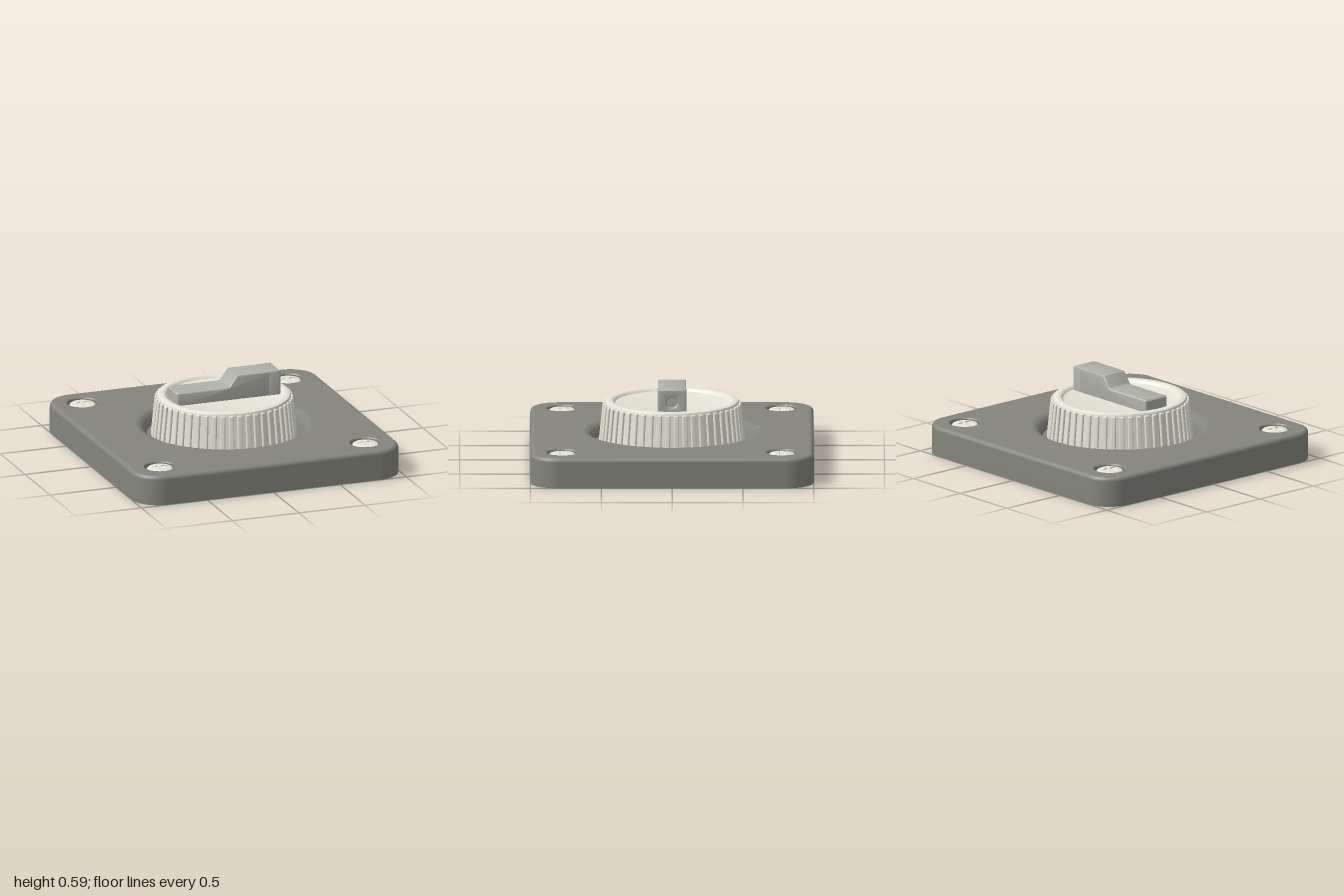
import * as THREE from 'three';
import { mergeGeometries, toCreasedNormals } from 'three/addons/utils/BufferGeometryUtils.js';
import { RoundedBoxGeometry } from 'three/addons/geometries/RoundedBoxGeometry.js';

const TOP = 0.215, SCREW = 0.775, WELL_R = 0.115, BOWL_R = 0.63;
const plateMat = new THREE.MeshStandardMaterial({ color: 0x84857c });
const knobMat = new THREE.MeshStandardMaterial({ color: 0xe6e4d6 });
const handleMat = new THREE.MeshStandardMaterial({ color: 0xaeb0a6 });

const mesh = (name, geometry, material) => {
  const m = new THREE.Mesh(geometry, material);
  m.name = name;
  return m;
};
const lathe = (pts, segments = 64) => toCreasedNormals(
  new THREE.LatheGeometry(pts.map(p => new THREE.Vector2(...p)), segments), 0.6);
const circle = (x, y, r) => new THREE.Path().absarc(x, y, r, 0, Math.PI * 2, false);
const polygon = pts => new THREE.Shape(pts.map(p => new THREE.Vector2(...p)));
const corners = [[1, 1], [1, -1], [-1, 1], [-1, -1]];

// Rounded square outline, counter-clockwise
function outline(inset) {
  const r = 0.2 - inset, c = 0.8, n = 10, pts = [];
  for (let q = 0; q < 4; q++) {
    const cx = q === 0 || q === 3 ? c : -c, cy = q < 2 ? c : -c;
    for (let i = 0; i <= n; i++) {
      const a = (q + i / n) * Math.PI / 2;
      pts.push(new THREE.Vector2(cx + r * Math.cos(a), cy + r * Math.sin(a)));
    }
  }
  return pts;
}

// Plate side wall with a filleted top edge
function plateSide() {
  const f = 0.03, rows = [[0, 0]];
  for (let k = 0; k <= 5; k++) {
    const a = k / 5 * Math.PI / 2;
    rows.push([f * (1 - Math.cos(a)), TOP - f + f * Math.sin(a)]);
  }
  const pos = [], idx = [], n = outline(0).length;
  rows.forEach(([inset, y]) => outline(inset).forEach(p => pos.push(p.x, y, -p.y)));
  for (let j = 0; j < rows.length - 1; j++) {
    for (let i = 0; i < n; i++) {
      const k = (i + 1) % n, a = j * n + i, b = j * n + k;
      idx.push(a, b, b + n, a, b + n, a + n);
    }
  }
  const g = new THREE.BufferGeometry();
  g.setAttribute('position', new THREE.Float32BufferAttribute(pos, 3));
  g.setIndex(idx);
  g.computeVertexNormals();
  return g;
}

function buildPlate() {
  const plate = new THREE.Group();
  plate.name = 'plate';
  const face = new THREE.Shape(outline(0.03));
  face.holes.push(circle(0, 0, BOWL_R));
  corners.forEach(([x, z]) => face.holes.push(circle(x * SCREW, z * SCREW, WELL_R)));
  plate.add(
    mesh('plateSide', plateSide(), plateMat),
    mesh('plateTop', new THREE.ShapeGeometry(face, 64).rotateX(-Math.PI / 2).translate(0, TOP, 0), plateMat),
    mesh('plateBottom', new THREE.ShapeGeometry(new THREE.Shape(outline(0))).rotateX(Math.PI / 2), plateMat),
    mesh('knobRecess', lathe([[BOWL_R, TOP], [0.61, 0.212], [0.59, 0.203], [0.575, 0.19],
      [0.56, 0.165], [0.548, 0.13], [0, 0.13]]), plateMat));
  corners.forEach(([x, z]) => {
    const well = mesh('screwWell', lathe([[WELL_R, TOP], [0.108, 0.207], [0.106, 0.15], [0, 0.15]]), plateMat);
    well.position.set(x * SCREW, 0, z * SCREW);
    plate.add(well);
  });
  return plate;
}

// Domed screw head with a cross-shaped slot
function buildScrew() {
  const w = 0.013, l = 0.068;
  const shape = new THREE.Shape().absarc(0, 0, 0.094, 0, Math.PI * 2, false);
  shape.holes.push(polygon([[w, w], [w, l], [-w, l], [-w, w], [-l, w], [-l, -w],
    [-w, -w], [-w, -l], [w, -l], [w, -w], [l, -w], [l, w]]));
  const g = new THREE.ExtrudeGeometry(shape, {
    depth: 0.06, bevelSize: 0.012, bevelOffset: -0.012, bevelThickness: 0.01, bevelSegments: 3, curveSegments: 16,
  }).rotateX(-Math.PI / 2);
  const p = g.attributes.position;
  for (let i = 0; i < p.count; i++) {
    p.setY(i, 0.153 + p.getY(i) - 2.2 * (p.getX(i) ** 2 + p.getZ(i) ** 2));
  }
  const screw = new THREE.Group();
  screw.name = 'screw';
  const floor = new THREE.CircleGeometry(0.085, 24).rotateX(-Math.PI / 2).translate(0, 0.188, 0);
  screw.add(mesh('screwHead', toCreasedNormals(g, 0.6), knobMat), mesh('slotFloor', floor, knobMat));
  return screw;
}

function buildKnob() {
  const knob = new THREE.Group();
  knob.name = 'knob';
  // Tapered core, rounded rim and sunken top
  knob.add(mesh('knobBody', lathe([[0.502, 0.13], [0.474, 0.405], [0.473, 0.418], [0.467, 0.429], [0.456, 0.434],
    [0.43, 0.434], [0.418, 0.431], [0.41, 0.423], [0.402, 0.413], [0.39, 0.41], [0, 0.41]], 96), knobMat));
  // Grip ribs around the edge
  const ribs = [], count = 50;
  for (let i = 0; i < count; i++) {
    ribs.push(new RoundedBoxGeometry(0.037, 0.285, 0.04, 1, 0.009)
      .rotateX(-0.1).translate(0, 0.272, 0.484).rotateY(i / count * Math.PI * 2));
  }
  knob.add(mesh('gripRibs', mergeGeometries(ribs), knobMat));
  return knob;
}

function buildHandle() {
  const handle = new THREE.Group();
  handle.name = 'handle';
  const bevel = { bevelSize: 0.01, bevelOffset: -0.01, bevelThickness: 0.01, bevelSegments: 3, curveSegments: 24 };
  // Stepped bar
  const profile = polygon([[-0.39, 0.39], [0.35, 0.39], [0.35, 0.585], [0.075, 0.585], [0.06, 0.58],
    [0.012, 0.516], [0.002, 0.505], [-0.015, 0.5], [-0.38, 0.5], [-0.39, 0.49]]);
  const bar = new THREE.ExtrudeGeometry(profile, { depth: 0.18, ...bevel }).translate(0, 0, -0.09);
  // Tall end with a round blind hole
  const z = 0.101, t = 0.586, c = 0.01;
  const section = polygon([[-z, 0.38], [z, 0.38], [z, t - c], [z - 0.003, t - 0.003], [z - c, t],
    [c - z, t], [0.003 - z, t - 0.003], [-z, t - c]]);
  section.holes.push(circle(0, 0.49, 0.038));
  const end = new THREE.ExtrudeGeometry(section, { depth: 0.07, ...bevel })
    .rotateY(Math.PI / 2).translate(0.31, 0, 0);
  handle.add(mesh('handleBar', toCreasedNormals(bar, 0.6), handleMat),
    mesh('handleEnd', toCreasedNormals(end, 0.6), handleMat));
  return handle;
}

export function createModel() {
  const model = new THREE.Group();
  model.name = 'rotarySwitch';
  model.add(buildPlate(), buildKnob(), buildHandle());
  corners.forEach(([x, z]) => {
    const screw = buildScrew();
    screw.position.set(x * SCREW, 0, z * SCREW);
    model.add(screw);
  });
  return model;
}
